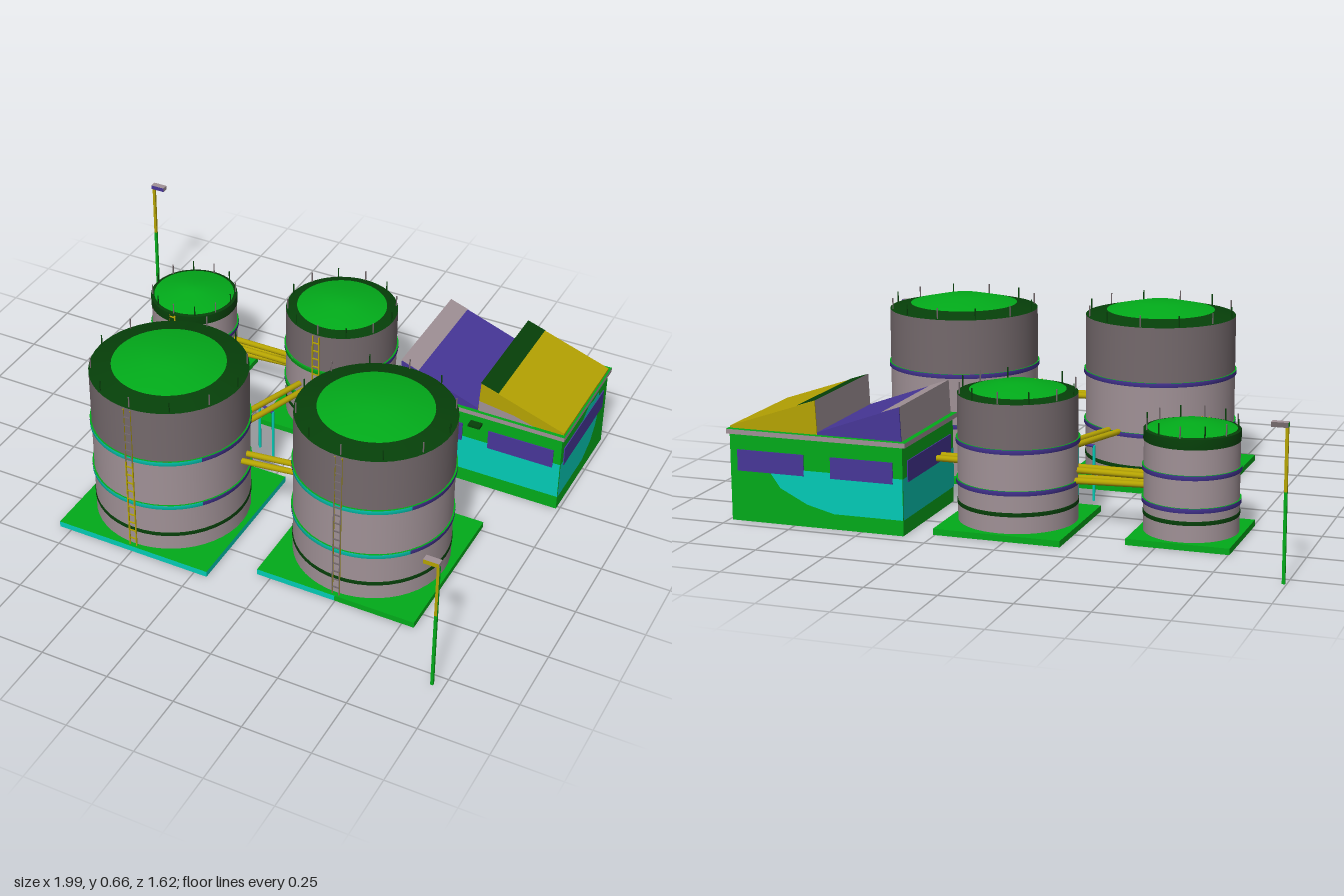
import * as THREE from 'three';

const mat = (name, color) => Object.assign(new THREE.MeshStandardMaterial({ color }), { name });
const green = mat('green', 0x02ab1a);
const darkGreen = mat('dark green', 0x064009);
const teal = mat('teal', 0x02cbb6);
const purple = mat('purple', 0x473698);
const yellow = mat('yellow', 0xb5a302);
const taupe = mat('taupe', 0xa09196);
const darkTaupe = mat('dark taupe', 0x74696c);

function add(parent, name, geometry, material, x = 0, y = 0, z = 0) {
  const m = new THREE.Mesh(geometry, material);
  m.name = name;
  m.position.set(x, y, z);
  parent.add(m);
  return m;
}

// Box given by its minimum and maximum corners
function block(parent, name, a, b, material) {
  const s = a.map((v, i) => b[i] - v), c = a.map((v, i) => (v + b[i]) / 2);
  return add(parent, name, new THREE.BoxGeometry(...s), material, ...c);
}

// Round bar between two points
function bar(parent, name, from, to, r, material) {
  const a = new THREE.Vector3(...from), d = new THREE.Vector3(...to).sub(a);
  const m = add(parent, name, new THREE.CylinderGeometry(r, r, d.length(), 10), material);
  m.position.copy(a).addScaledVector(d, 0.5);
  m.quaternion.setFromUnitVectors(new THREE.Vector3(0, 1, 0), d.normalize());
  return m;
}

const outline = points => points.map(p => new THREE.Vector2(...p));

function lathe(parent, name, points, material, start = 0, sweep = Math.PI * 2) {
  return add(parent, name, new THREE.LatheGeometry(outline(points), 48, start, sweep), material);
}

function tank({ name, x, z, r, pad, wall, top, ring, upper, base, hoops, yellowTo }) {
  const g = new THREE.Group();
  g.name = name;
  g.position.set(x, 0, z);

  // Square foundation in two halves
  const [b0, b1] = base;
  block(g, 'foundation', [-pad, 0, -pad], [0, 0.022, pad], [green, green, green, b0, b0, green]);
  block(g, 'foundation', [0, 0, -pad], [pad, 0.022, pad], [b1, green, green, b1, b1, green]);

  // Shell in two tones, with hoops at each third
  const y1 = 0.007 + wall / 3, y2 = -0.006 + wall * 2 / 3;
  lathe(g, 'lowerShell', [[r, 0.02], [r, y2]], taupe);
  lathe(g, 'upperShell', [[r, y2], [r, wall]], upper);
  [y1, y2].forEach((y, i) => {
    const o = r + 0.006, lo = y - 0.008, hi = y + 0.008, arc = 1.8;
    lathe(g, 'hoopFront', [[r, lo], [o, lo], [o, hi]], hoops[i], -arc / 2, arc);
    lathe(g, 'hoopBack', [[r, lo], [o, lo], [o, hi]], purple, arc / 2, Math.PI * 2 - arc);
    lathe(g, 'hoopTop', [[o, hi], [r, hi]], green);
  });
  const stripe = (n, y, h) =>
    lathe(g, n, [[r, y - h], [r + 0.002, y - h], [r + 0.002, y + h], [r, y + h]], darkGreen);
  stripe('baseStripe', 0.088, 0.007);
  if (upper === taupe) stripe('topStripe', wall - 0.018, 0.018);

  // Shallow domed roof with a dark rim
  const mid = wall + (top - wall) * (1 - ring / r) * 1.45;
  lathe(g, 'roofRim', [[r, wall], [ring, mid]], darkGreen);
  lathe(g, 'roofDome', [[ring, mid], [r * 0.3, top - 0.001], [0, top]], green);

  // Guard posts round the roof edge
  for (let i = 0; i < 12; i++) {
    const a = i * Math.PI / 6, px = Math.cos(a) * r * 0.97, pz = Math.sin(a) * r * 0.97;
    bar(g, 'guardPost', [px, wall - 0.005, pz], [px, wall + 0.042, pz], 0.0025, i % 2 ? darkTaupe : darkGreen);
  }

  // Ladder on the front, with a change of paint part way up
  const grey = [yellow, yellow, yellow, yellow, darkTaupe, yellow];
  const lengths = [[0.022, yellowTo, yellow], [yellowTo, wall, grey]].filter(([a, b]) => b > a);
  for (const s of [-1, 1]) for (const [a, b, m] of lengths) {
    block(g, 'ladderRail', [s * 0.013 - 0.002, a, r + 0.007], [s * 0.013 + 0.002, b, r + 0.012], m);
  }
  for (let y = 0.05; y < wall; y += 0.035) {
    block(g, 'ladderRung', [-0.013, y, r + 0.007], [0.013, y + 0.004, r + 0.011], y < yellowTo ? yellow : darkTaupe);
  }
  return g;
}

function building() {
  const g = new THREE.Group();
  g.name = 'building';
  const x0 = 0.345, x1 = 0.988, z0 = -0.7, z1 = -0.237;
  block(g, 'walls', [x0, 0, z0], [x1, 0.31, z1], [green, green, green, teal, green, green]);

  // Painted wall panels, each drawn flat and turned to face outwards
  const panel = (name, points, turn, x, z) => {
    add(g, name, new THREE.ShapeGeometry(new THREE.Shape(outline(points))), teal, x, 0, z).rotation.y = turn;
  };
  const band = (a, b) => [[a, 0.055], [b, 0.055], [b, 0.2], [a, 0.2]];
  panel('frontPanel', band(x0, x1), 0, 0, z1 + 0.002);
  panel('rightPanel', band(z0, z1), -Math.PI / 2, x0 - 0.002, 0);
  panel('leftPanel', [[0.237, 0.055], [0.48, 0.055], [0.56, 0.09], [0.6, 0.14], [0.62, 0.2], [0.62, 0.25],
    [0.6, 0.285], [0.55, 0.28], [0.5, 0.29], [0.43, 0.25], [0.41, 0.2], [0.237, 0.2]], Math.PI / 2, x1 + 0.002, 0);
  panel('backPanel', [[-0.345, 0.055], [-0.345, 0.2], [-0.85, 0.2], [-0.8, 0.13], [-0.7, 0.08], [-0.6, 0.055]],
    Math.PI, 0, z0 - 0.002);

  // Ribbon windows on all four sides
  for (const x of [x0, x1]) {
    block(g, 'sideWindow', [x - 0.004, 0.18, -0.66], [x + 0.004, 0.255, -0.265], purple);
  }
  for (const z of [z0, z1]) for (const [a, b] of [[0.38, 0.61], [0.71, 0.96]]) {
    block(g, 'longWindow', [a, 0.18, z - 0.004], [b, 0.255, z + 0.004], purple);
  }
  block(g, 'canopy', [0.64, 0.27, z1], [0.685, 0.28, -0.208], darkGreen);

  // Eaves slab
  block(g, 'eaves', [0.331, 0.31, -0.71], [0.997, 0.327, -0.228], [taupe, taupe, green, taupe, taupe, taupe]);

  // Two sawtooth roofs with an upright face and a long slope
  const za = -0.69, zb = -0.243;
  const strip = (name, a, b, m) => {
    const geo = new THREE.BufferGeometry();
    const p = [...a, za, ...a, zb, ...b, zb, ...b, za];
    geo.setAttribute('position', new THREE.Float32BufferAttribute(p, 3));
    geo.setIndex([0, 1, 2, 0, 2, 3]);
    geo.computeVertexNormals();
    add(g, name, geo, m);
  };
  for (const [l, e, slope, cap] of [[0.352, 0.662, purple, taupe], [0.662, 0.99, yellow, darkGreen]]) {
    const ridge = [l + 0.006, 0.445], eave = [e, 0.335];
    const shape = new THREE.Shape(outline([[l, 0.327], [e, 0.327], eave, ridge]));
    add(g, 'sawtoothRoof', new THREE.ExtrudeGeometry(shape, { depth: zb - za, bevelEnabled: false }), slope, 0, 0, za);
    const t = (l + 0.073 - ridge[0]) / (e - ridge[0]);
    const capEnd = ridge.map((v, i) => v + (eave[i] - v) * t);
    strip('uprightFace', [l - 0.002, 0.327], [ridge[0] - 0.002, 0.447], taupe);
    strip('ridgeCap', [ridge[0] - 0.002, 0.447], [capEnd[0], capEnd[1] + 0.002], cap);
  }
  const corner = new THREE.Shape(outline([[0.665, 0.327], [0.88, 0.327], [0.8, 0.35], [0.665, 0.37]]));
  add(g, 'gablePanel', new THREE.ShapeGeometry(corner), taupe, 0, 0, zb + 0.002);
  return g;
}

// Lamp post with an arm-like head reaching along x
function lamp(x, z, dir, upperPole, head) {
  const g = new THREE.Group();
  g.name = 'lamp';
  g.position.set(x, 0, z);
  block(g, 'lowerPole', [-0.005, 0, -0.005], [0.005, 0.3, 0.005], green);
  block(g, 'upperPole', [-0.005, 0.3, -0.005], [0.005, 0.51, 0.005], upperPole);
  add(g, 'lampHead', new THREE.BoxGeometry(0.055, 0.016, 0.025), head, dir * 0.022, 0.516, 0);
  return g;
}

function pipes() {
  const g = new THREE.Group();
  g.name = 'pipework';
  const runs = [
    [[-0.43, 0.17, -0.40], [-0.16, 0.17, -0.43]],
    [[-0.43, 0.17, -0.36], [-0.16, 0.17, -0.385]],
    [[-0.43, 0.2, -0.40], [0.35, 0.2, -0.40]],
    [[-0.43, 0.2, -0.355], [0.35, 0.2, -0.355]],
    [[-0.045, 0.217, -0.24], [-0.17, 0.217, 0.11]],
    [[-0.005, 0.217, -0.23], [-0.125, 0.217, 0.12]],
    [[0.01, 0.29, 0.32], [0.24, 0.29, 0.29]],
    [[0.01, 0.29, 0.365], [0.24, 0.29, 0.333]],
  ];
  for (const [a, b] of runs) bar(g, 'pipe', a, b, 0.011, yellow);

  // Trestle under the long crossing
  const feet = [[-0.13, -0.07], [-0.06, -0.042]];
  for (const [x, z] of feet) bar(g, 'trestleLeg', [x, 0, z], [x, 0.205, z], 0.005, teal);
  bar(g, 'trestleBeam', [-0.13, 0.202, -0.07], [-0.06, 0.202, -0.042], 0.006, purple);
  return g;
}

export function createModel() {
  const model = new THREE.Group();
  model.name = 'tankFarm';
  const big = { r: 0.278, pad: 0.298, wall: 0.61, top: 0.656, ring: 0.2, upper: darkTaupe, hoops: [teal, teal] };
  model.add(
    tank({ ...big, name: 'largeTankRight', x: -0.248, z: 0.37, base: [teal, teal], yellowTo: 0.39 }),
    tank({ ...big, name: 'largeTankLeft', x: 0.497, z: 0.277, base: [teal, green], yellowTo: 0.022 }),
    tank({ name: 'mediumTank', x: 0.03, z: -0.425, r: 0.208, pad: 0.227, wall: 0.467, top: 0.505, ring: 0.167,
      upper: darkTaupe, base: [green, green], hoops: [green, green], yellowTo: 0.467 }),
    tank({ name: 'smallTank', x: -0.575, z: -0.378, r: 0.163, pad: 0.179, wall: 0.375, top: 0.405, ring: 0.152,
      upper: taupe, base: [teal, green], hoops: [green, teal], yellowTo: 0.375 }),
    building(),
    pipes(),
    lamp(-0.99, -0.797, 1, yellow, [taupe, green, taupe, green, purple, darkTaupe]),
    lamp(0.96, 0.793, -1, [green, yellow, yellow, yellow, yellow, yellow], [taupe, green, taupe, green, yellow, purple]),
  );
  return model;
}
